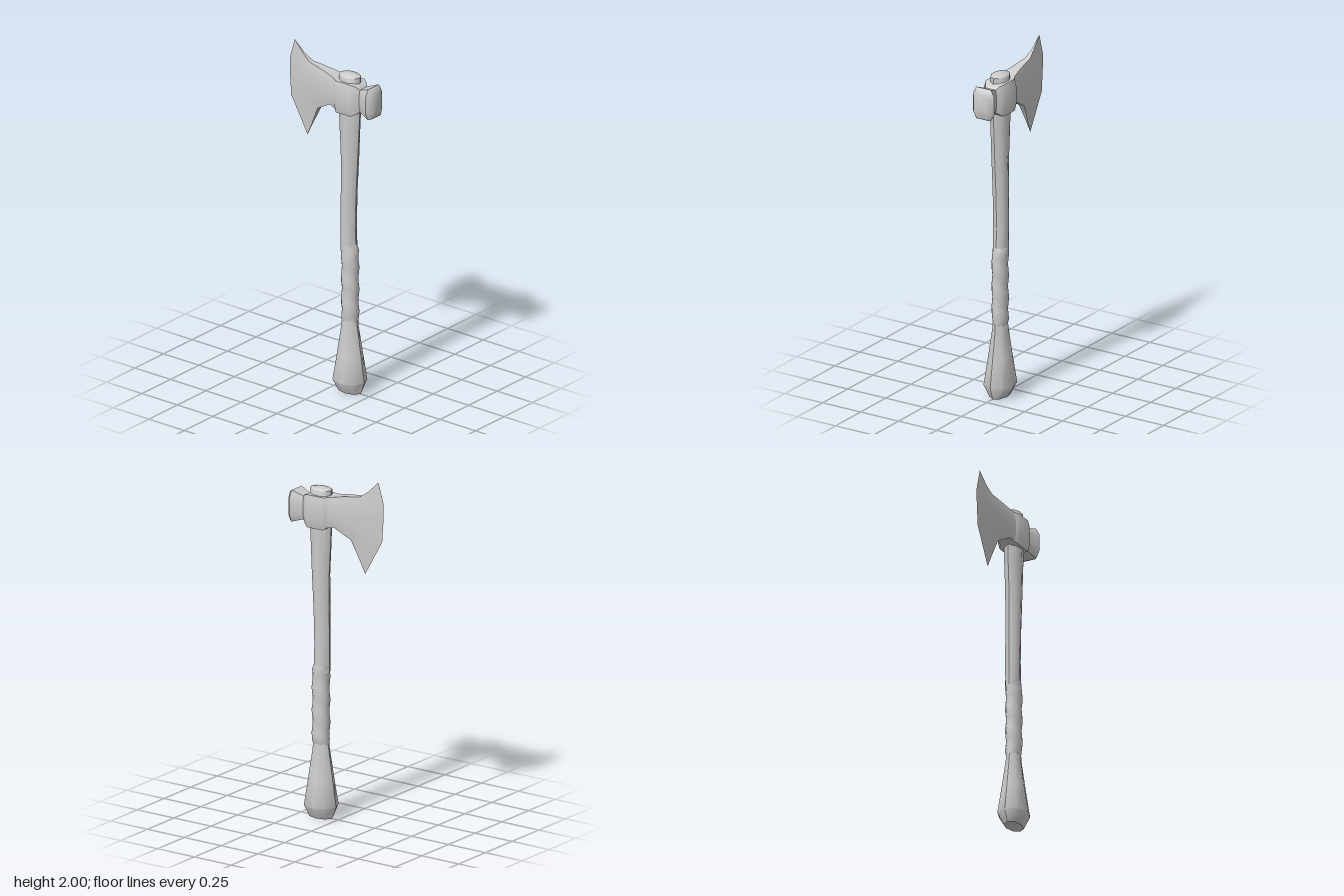
import * as THREE from 'three';
import { toCreasedNormals } from 'three/addons/utils/BufferGeometryUtils.js';

// Skin a row of closed loops, optionally capping either end.
function loft(loops, capStart, capEnd) {
  const n = loops[0].length;
  const pos = loops.flat(2);
  const index = [];
  for (let i = 0; i < loops.length - 1; i++) {
    for (let j = 0; j < n; j++) {
      const a = i * n + j, b = i * n + (j + 1) % n;
      index.push(a, a + n, b, b, a + n, b + n);
    }
  }
  const cap = (k, flip, lift) => {
    const c = [0, 1, 2].map(d => loops[k].reduce((s, p) => s + p[d], 0) / n);
    const m = pos.length / 3;
    pos.push(c[0], c[1] + lift, c[2]);
    for (let j = 0; j < n; j++) {
      const a = k * n + j, b = k * n + (j + 1) % n;
      if (flip) index.push(m, b, a);
      else index.push(m, a, b);
    }
  };
  if (capStart) cap(0, false, 0);
  if (capEnd) cap(loops.length - 1, true, capEnd.lift || 0);
  const g = new THREE.BufferGeometry();
  g.setAttribute('position', new THREE.Float32BufferAttribute(pos, 3));
  g.setIndex(index);
  return toCreasedNormals(g, 0.85);
}

// Horizontal oval ring between x0 and x1, with an optional spiral bump.
function ring(y, x0, x1, rz, sides, bump = 0) {
  return Array.from({ length: sides }, (_, j) => {
    const a = (j / sides) * Math.PI * 2;
    const k = 1 + bump * Math.sin(a - y * 48);
    return [(x0 + x1) / 2 + (x1 - x0) / 2 * Math.cos(a) * k, y, rz * Math.sin(a) * k];
  });
}

// Mirror rows of [x, y, z] (bottom to top) to the back to close a head section.
const mirrored = rows => [...rows, ...[...rows].reverse().map(([x, y, z]) => [x, y, -z])];

// Upright head section at x, with its top and bottom narrowed by a factor.
function section(x, y0, y1, z, narrow) {
  return mirrored([0, 0.22, 0.5, 0.78, 1].map((t, i) =>
    [x, y0 + (y1 - y0) * t, z * (i === 0 || i === 4 ? narrow : 1)]));
}

export function createModel() {
  const group = new THREE.Group();
  const grey = new THREE.MeshStandardMaterial({ color: 0xcccccc });
  grey.name = 'plainGrey';
  const add = (name, geometry) => {
    const mesh = new THREE.Mesh(geometry, grey);
    mesh.name = name;
    group.add(mesh);
  };

  // Flared pommel at the foot of the handle
  add('pommel', loft([
    ring(0.005, 0.04, 0.19, 0.048, 8),
    ring(0.075, 0.012, 0.215, 0.09, 8),
    ring(0.24, 0.038, 0.19, 0.064, 8),
    ring(0.40, 0.062, 0.165, 0.042, 8),
    ring(0.44, 0.064, 0.165, 0.038, 8),
  ], true, false));
  group.children[0].geometry.translate(0, -0.005, 0);

  // Wrapped grip with a spiral swell
  const grip = [ring(0.42, 0.064, 0.164, 0.036, 12)];
  for (let i = 0; i <= 12; i++) {
    grip.push(ring(0.45 + i * 0.033, 0.064, 0.166, 0.044, 12, 0.07));
  }
  grip.push(ring(0.88, 0.058, 0.155, 0.042, 12));
  add('grip', loft(grip, false, false));

  // Shaft, widening towards the head
  add('shaft', loft([
    ring(0.84, 0.058, 0.157, 0.043, 8),
    ring(1.0, 0.058, 0.152, 0.043, 8),
    ring(1.2, 0.06, 0.157, 0.044, 8),
    ring(1.4, 0.06, 0.169, 0.046, 8),
    ring(1.58, 0.05, 0.178, 0.049, 8),
    ring(1.72, 0.044, 0.186, 0.052, 8),
  ], false, false));

  // Shaft end standing out above the head
  add('shaftEnd', loft([
    ring(1.80, 0.046, 0.184, 0.048, 10),
    ring(1.892, 0.046, 0.184, 0.048, 10),
    ring(1.898, 0.054, 0.176, 0.042, 10),
  ], false, { lift: 0.009 }));

  // Blade: cutting edge, bevel and cheek, thickening towards the shaft
  const edge = [[-0.185, 1.455, 0], [-0.3, 1.66, 0], [-0.31, 1.8, 0], [-0.31, 1.88, 0], [-0.275, 2, 0]];
  const bevel = [[-0.148, 1.535, 0.006], [-0.235, 1.66, 0.012], [-0.255, 1.79, 0.01], [-0.25, 1.87, 0.01], [-0.21, 1.935, 0.007]];
  const cheek = [[-0.1, 1.64, 0.018], [-0.15, 1.7, 0.024], [-0.17, 1.78, 0.022], [-0.17, 1.85, 0.022], [-0.16, 1.9, 0.015]];
  add('blade', loft([
    mirrored(edge),
    mirrored(bevel),
    mirrored(cheek),
    section(-0.05, 1.668, 1.883, 0.038, 0.75),
    section(0.0, 1.697, 1.873, 0.046, 0.8),
    section(0.04, 1.69, 1.865, 0.053, 0.85),
  ], false, false));

  // Collar around the shaft
  add('collar', loft([
    section(0.04, 1.69, 1.865, 0.053, 0.85),
    section(0.062, 1.675, 1.863, 0.071, 0.85),
    section(0.167, 1.675, 1.863, 0.071, 0.85),
    section(0.192, 1.69, 1.855, 0.054, 0.85),
    section(0.21, 1.705, 1.838, 0.038, 0.85),
  ], false, false));

  // Hammer poll behind the collar
  add('poll', loft([
    section(0.21, 1.705, 1.838, 0.038, 0.85),
    section(0.28, 1.682, 1.865, 0.069, 0.7),
    section(0.296, 1.687, 1.852, 0.056, 0.7),
    section(0.308, 1.698, 1.832, 0.038, 0.8),
  ], false, true));

  return group;
}
